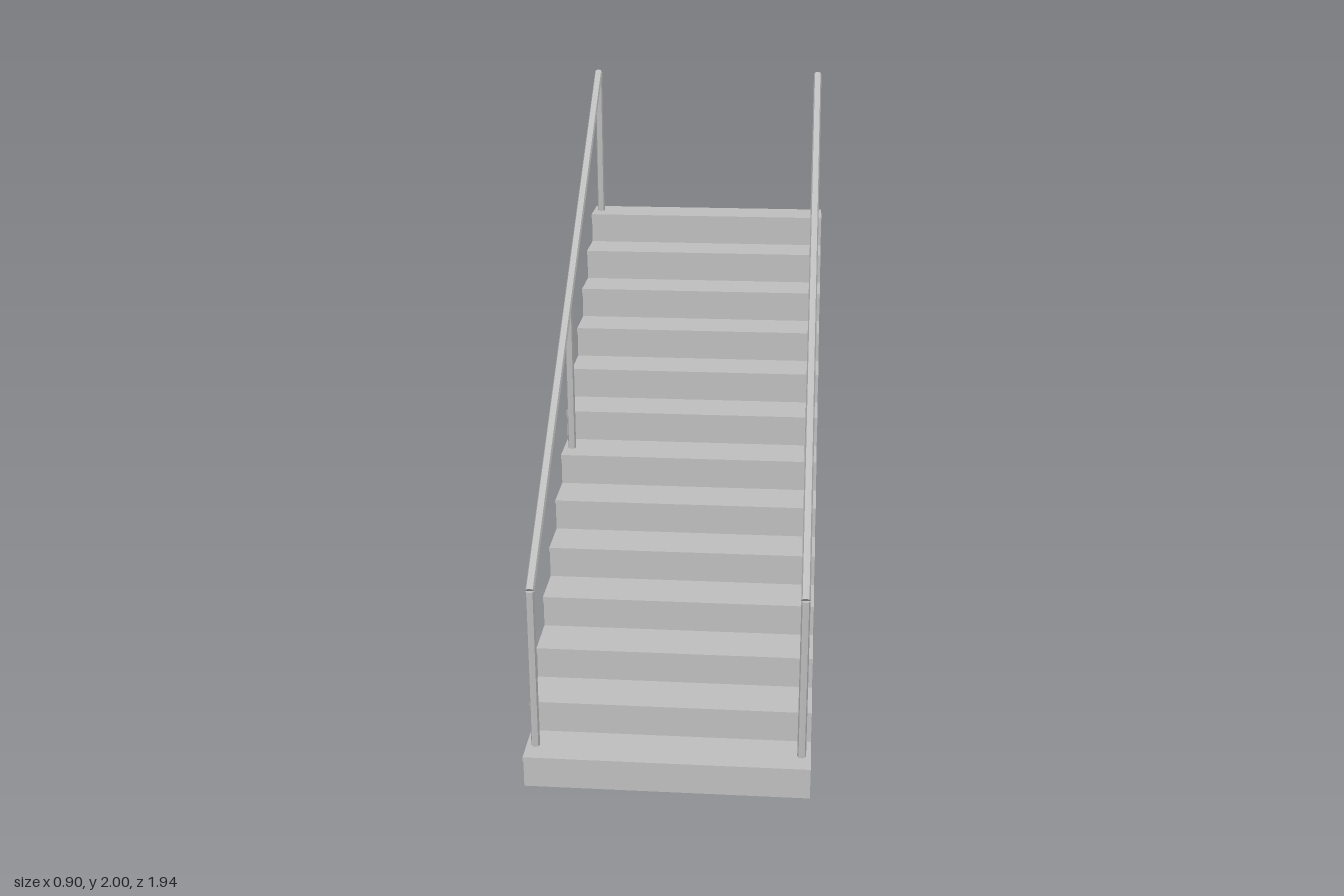
import * as THREE from 'three';

export function createModel() {
  const group = new THREE.Group();
  group.name = 'staircase';
  const grey = new THREE.MeshStandardMaterial({ color: 0xbfbfbf, flatShading: true });
  grey.name = 'concrete grey';

  const steps = 13, rise = 0.1112, run = 0.1487;
  const front = 0.968, back = -0.968, halfWidth = 0.452;
  const nosing = 0.011, lip = 0.016;

  // Solid flight: stepped side profile with a small nosing on each tread
  const profile = new THREE.Shape();
  profile.moveTo(back, 0);
  profile.lineTo(front - nosing, 0);
  for (let i = 0; i < steps; i++) {
    const z = front - i * run, y = (i + 1) * rise;
    profile.lineTo(z - nosing, y - lip);
    profile.lineTo(z, y - lip);
    profile.lineTo(z, y);
    if (i < steps - 1) profile.lineTo(z - run - nosing, y);
  }
  profile.lineTo(back, steps * rise);
  profile.closePath();
  const flight = new THREE.ExtrudeGeometry(profile, { depth: 2 * halfWidth, bevelEnabled: false });
  flight.translate(0, 0, -halfWidth).rotateY(-Math.PI / 2);
  const stairs = new THREE.Mesh(flight, grey);
  stairs.name = 'stairs';
  group.add(stairs);

  // Eight-sided bar between two points
  function bar(name, a, b, radius) {
    const dir = b.clone().sub(a);
    const mesh = new THREE.Mesh(new THREE.CylinderGeometry(radius, radius, dir.length(), 8), grey);
    mesh.position.copy(a).add(b).multiplyScalar(0.5);
    mesh.quaternion.setFromUnitVectors(new THREE.Vector3(0, 1, 0), dir.normalize());
    mesh.name = name;
    return mesh;
  }

  // Handrails: three posts and a sloping rail on each side
  const railHeight = 0.544;
  for (const [side, x] of [['left', 0.423], ['right', -0.423]]) {
    const railing = new THREE.Group();
    railing.name = side + 'Railing';
    const tops = [0, 6, 12].map((i) => {
      const z = front - 0.076 - i * run, y = (i + 1) * rise;
      const top = new THREE.Vector3(x, y + railHeight, z);
      railing.add(bar('post', new THREE.Vector3(x, y - 0.005, z), top, 0.014));
      return top;
    });
    railing.add(bar('handrail', tops[0], tops[2], 0.0145));
    group.add(railing);
  }
  return group;
}
